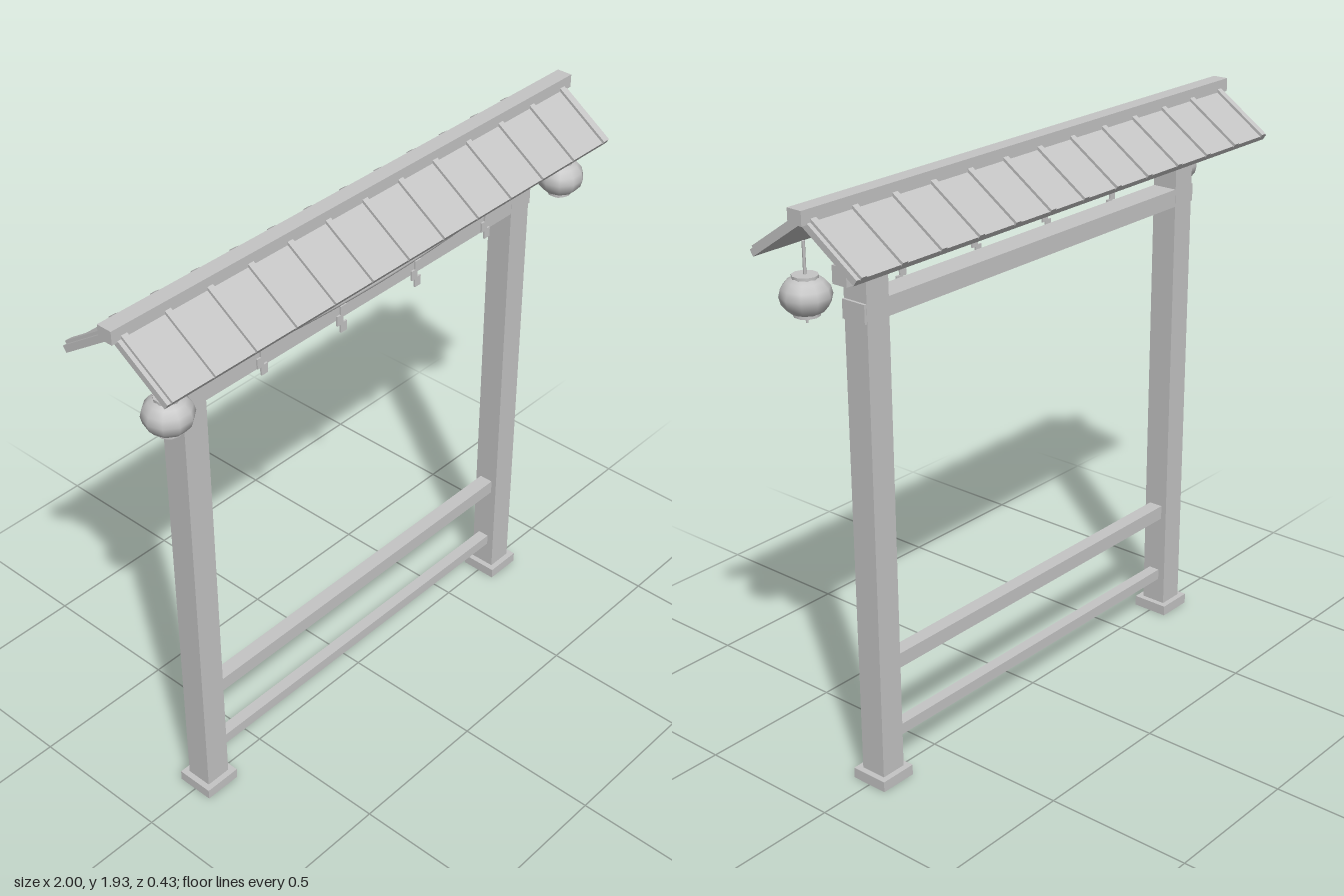
import * as THREE from 'three';

export function createModel() {
  const gate = new THREE.Group();
  gate.name = 'gate';
  const grey = new THREE.MeshStandardMaterial({ color: 0xc4c4c4 });
  grey.name = 'plain grey';
  const flatGrey = grey;

  function add(name, geometry, x, y, z, parent = gate) {
    const mesh = new THREE.Mesh(geometry, flatGrey);
    mesh.name = name;
    mesh.position.set(x, y, z);
    parent.add(mesh);
    return mesh;
  }
  const box = (name, w, h, d, x, y, z, parent) =>
    add(name, new THREE.BoxGeometry(w, h, d), x, y, z, parent);

  // Posts on square footings
  for (const s of [-1, 1]) {
    box('footing', 0.13, 0.036, 0.13, s * 0.738, 0.018, 0);
    box('post', 0.09, 1.78, 0.09, s * 0.738, 0.925, 0);
  }

  // Rails between the posts and beams through them
  box('lowerRail', 1.4, 0.038, 0.04, 0, 0.147, 0);
  box('upperRail', 1.4, 0.05, 0.05, 0, 0.4, 0);
  box('tieBeam', 1.584, 0.06, 0.088, 0, 1.578, 0);
  box('topBeam', 1.684, 0.056, 0.056, 0, 1.697, 0);

  // Roof: ridge and two sloping panels with battens
  box('ridgeBeam', 2, 0.044, 0.054, 0, 1.906, 0);
  const slope = THREE.MathUtils.degToRad(34);
  for (const s of [1, -1]) {
    const side = new THREE.Group();
    side.name = s > 0 ? 'frontRoof' : 'backRoof';
    side.position.set(0, 1.88, 0);
    side.rotation.x = s * slope;
    gate.add(side);
    box('roofPanel', 1.96, 0.022, 0.234, 0, 0.011, s * 0.119, side);
    for (let i = 0; i < 13; i++) {
      box('batten', 0.022, 0.014, 0.236, (i - 6) * 0.1592, 0.024, s * 0.12, side);
    }
  }

  // Hanging lanterns
  for (const s of [-1, 1]) {
    const lantern = new THREE.Group();
    lantern.name = 'lantern';
    lantern.position.set(s * 0.882, 1.632, 0.095);
    gate.add(lantern);
    const body = new THREE.SphereGeometry(0.078, 10, 8).scale(1, 0.8, 1);
    add('lanternBody', body, 0, 0, 0, lantern);
    for (const t of [-1, 1]) {
      add('lanternCap', new THREE.CylinderGeometry(0.04, 0.04, 0.014, 10), 0, t * 0.054, 0, lantern);
    }
    add('lanternCord', new THREE.CylinderGeometry(0.005, 0.005, 0.104, 6), 0, 0.108, 0, lantern);
    add('tassel', new THREE.CylinderGeometry(0.004, 0.004, 0.03, 6), 0, -0.068, 0, lantern);
  }

  // Sagging rope in front of the beams
  const ropeY = (x) => 1.638 + 0.042 * (x / 0.675) ** 2;
  const ropeZ = 0.075;
  const points = [];
  for (let i = -6; i <= 6; i++) {
    const x = (i / 6) * 0.675;
    points.push(new THREE.Vector3(x, ropeY(x), ropeZ));
  }
  const curve = new THREE.CatmullRomCurve3(points);
  add('rope', new THREE.TubeGeometry(curve, 24, 0.014, 8), 0, 0, 0);
  for (const s of [-1, 1]) {
    const end = add('ropeEnd', new THREE.CircleGeometry(0.014, 8), s * 0.675, ropeY(0.675), ropeZ);
    end.rotation.y = s * Math.PI / 2;
  }

  // Zigzag paper streamers
  for (const x of [-0.506, -0.169, 0.169, 0.506]) {
    const streamer = new THREE.Group();
    streamer.name = 'paperStreamer';
    streamer.position.set(x, ropeY(x) - 0.014, 0.087);
    gate.add(streamer);
    [0.006, -0.009, 0.006].forEach((dx, i) => {
      box('paperFold', 0.026, 0.034, 0.006, dx, -0.012 - i * 0.029, 0, streamer);
    });
  }

  return gate;
}
